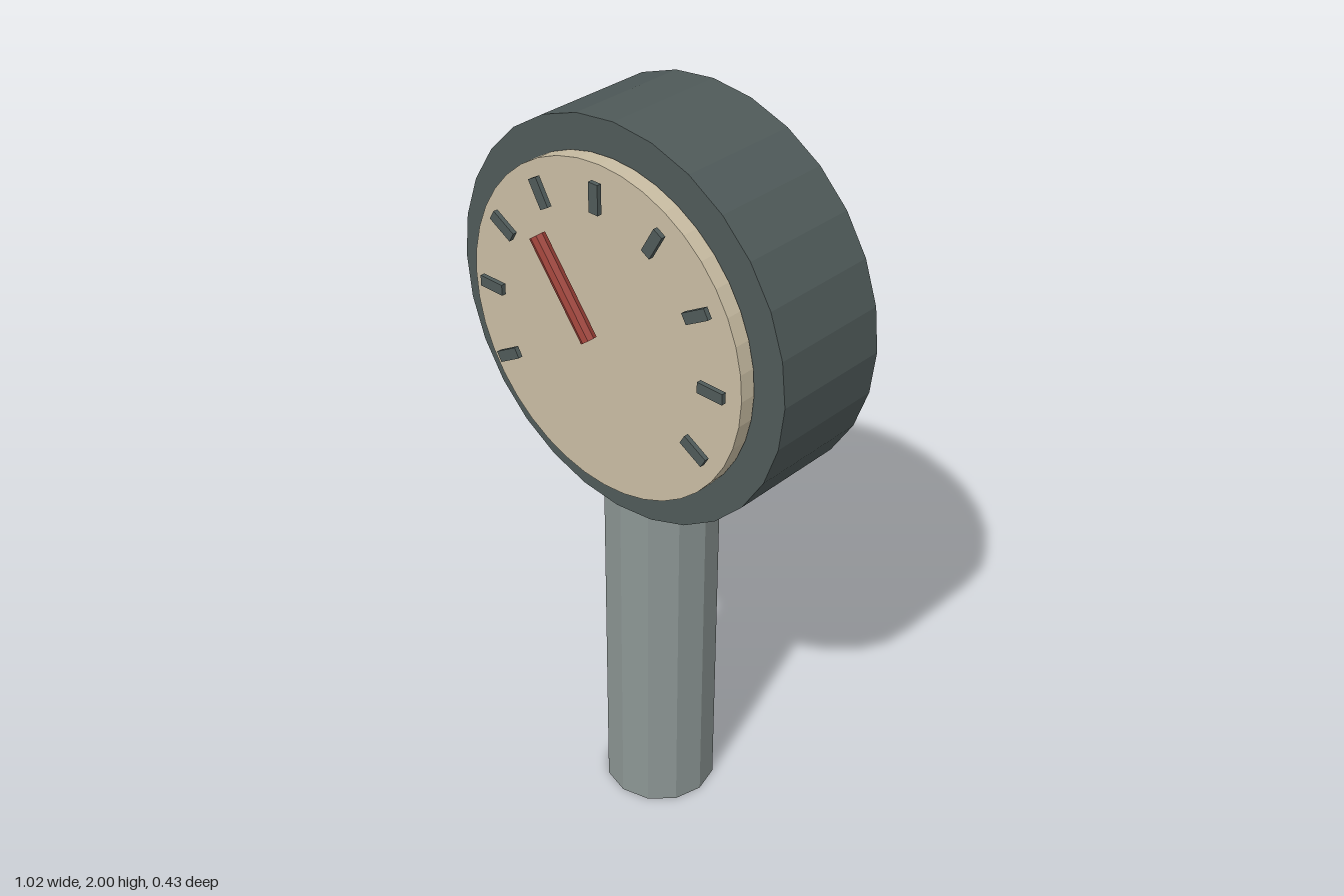
import * as THREE from 'three';

const flat = (name, color) => {
  const m = new THREE.MeshStandardMaterial({ color, flatShading: true });
  m.name = name;
  return m;
};

export function createModel() {
  const group = new THREE.Group();
  group.name = 'gauge';

  const darkGrey = flat('dark grey', 0x4f5a59);
  const steel = flat('steel grey', 0x8c9694);
  const cream = flat('cream', 0xc9bda3);
  const red = flat('red', 0x9a4037);
  const centreY = 1.49;

  const add = (name, geometry, material, x, y, z) => {
    const mesh = new THREE.Mesh(geometry, material);
    mesh.name = name;
    mesh.position.set(x, y, z);
    group.add(mesh);
    return mesh;
  };
  // Round plate facing the front
  const disc = (radius, depth, sides) =>
    new THREE.CylinderGeometry(radius, radius, depth, sides).rotateX(Math.PI / 2);

  // Stem, ending inside the case
  add('post', new THREE.CylinderGeometry(0.15, 0.15, 1.02, 12), steel, 0, 0.51, -0.052);

  // Gauge body and face
  add('case', disc(0.51, 0.324, 28), darkGrey, 0, centreY, -0.054);
  add('dial', disc(0.425, 0.042, 40), cream, 0, centreY, 0.132);

  // Nine tick marks, 30 degrees apart
  const tick = new THREE.BoxGeometry(0.028, 0.074, 0.012);
  for (let i = -4; i <= 4; i++) {
    const a = (i * Math.PI) / 6;
    const mark = add('tickMark', tick, darkGrey,
      0.35 * Math.sin(a), centreY + 0.35 * Math.cos(a), 0.168);
    mark.rotation.z = -a;
  }

  // Needle from the dial centre to the upper left of the face
  const tip = new THREE.Vector2(-0.16, 0.212);
  const needle = add('needle', new THREE.CylinderGeometry(0.02, 0.02, tip.length(), 8), red,
    tip.x / 2, centreY + tip.y / 2, 0.195);
  needle.rotation.z = Math.atan2(-tip.x, tip.y);

  return group;
}
